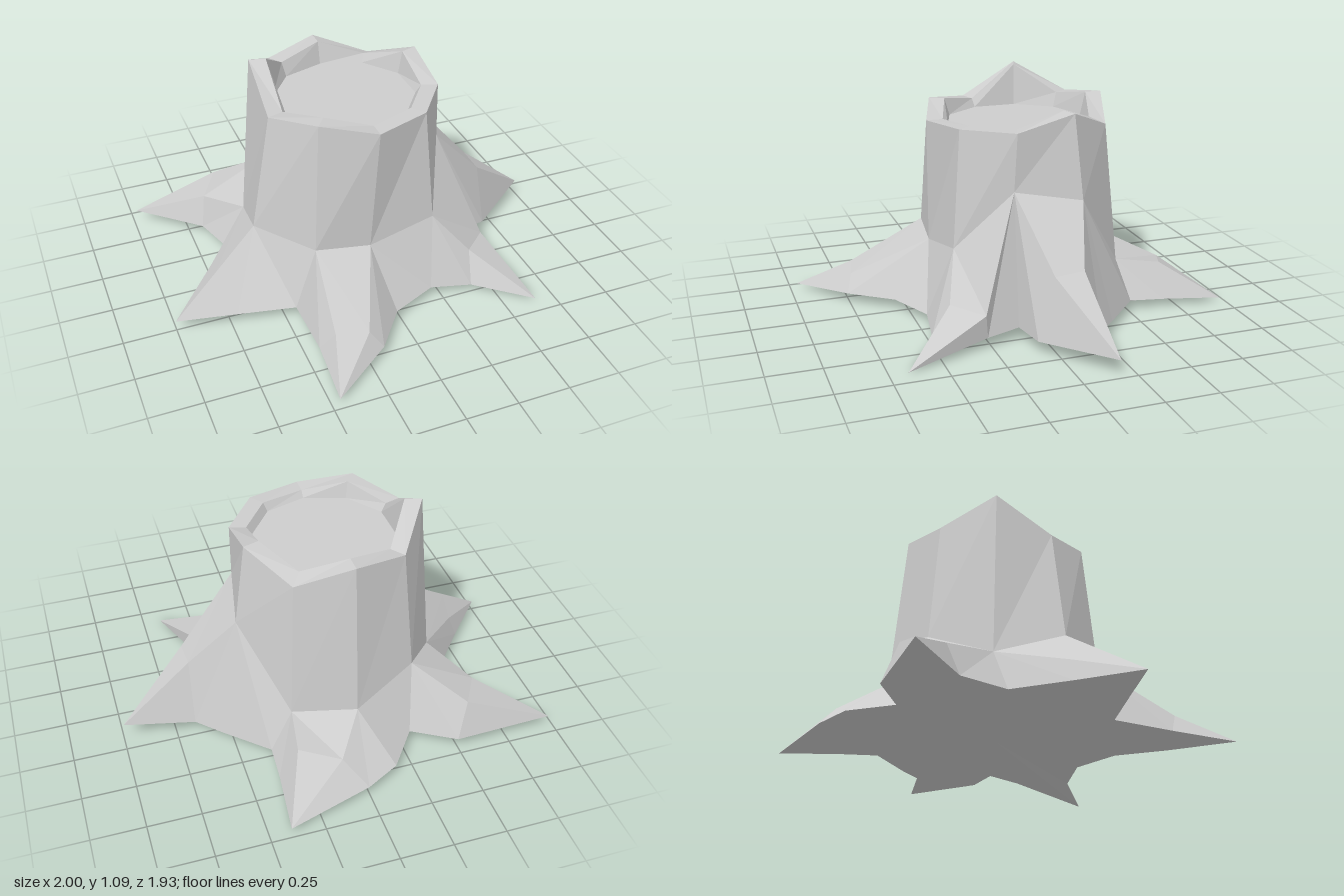
import * as THREE from 'three';

const CX = -0.04, CZ = -0.06, N = 10;

// Builds a faceted mesh from polygons (corner lists, counter-clockwise from outside)
function facets(name, polys, material) {
  const pos = [];
  for (const p of polys) {
    for (let i = 1; i < p.length - 1; i++) {
      if (p[i] === p[i + 1]) continue;
      pos.push(...p[0], ...p[i], ...p[i + 1]);
    }
  }
  const g = new THREE.BufferGeometry();
  g.setAttribute('position', new THREE.Float32BufferAttribute(pos, 3));
  g.computeVertexNormals();
  const mesh = new THREE.Mesh(g, material);
  mesh.name = name;
  return mesh;
}

// Ten-sided ring around the trunk axis
const ring = (r, height) => Array.from({ length: N }, (_, k) => {
  const a = (k * Math.PI * 2) / N;
  return [CX + r * Math.sin(a), height(k), CZ + r * Math.cos(a)];
});

// Quads joining a lower ring to an upper ring
const band = (lo, up) => lo.map((p, k) => {
  const n = (k + 1) % N;
  return [p, lo[n], up[n], up[k]];
});

export function createModel() {
  const model = new THREE.Group();
  const wood = new THREE.MeshStandardMaterial({ color: 0xcccccc });
  wood.name = 'pale grey wood';

  // Jagged rim heights, and where the trunk meets the roots
  const jag = [0.92, 0.93, 0.93, 1.0, 0.9, 1.0, 0.96, 1.09, 0.93, 0.97];
  const foot = [
    [-0.08, 0.32, 0.37], [0.25, 0.38, 0.34], [0.375, 0.66, 0.09], [0.435, 0.61, -0.22],
    [0.25, 0.23, -0.475], [-0.04, 0.25, -0.57], [-0.34, 0.37, -0.47], [-0.52, 0.26, -0.23],
    [-0.56, 0.37, 0.09], [-0.34, 0.34, 0.34],
  ];
  const outer = ring(0.44, k => jag[k]);
  const inner = ring(0.36, k => (k === 4 ? 0.93 : jag[k]));
  const floor = ring(0.335, () => 0.89);

  model.add(facets('trunk', band(foot, outer), wood));
  model.add(facets('brokenRim', [...band(outer, inner), ...band(inner, floor)], wood));
  model.add(facets('cutFace', [floor], wood));

  // Ground points in the hollows between roots
  const h = {
    front: [-0.02, 0.05, 0.56], frontB: [0.2, 0.05, 0.46], right: [0.5, 0.06, 0.11],
    backR: [0.55, 0.05, -0.33], backR2: [0.36, 0.05, -0.51], back: [-0.16, 0.05, -0.78],
    backL: [-0.3, 0.05, -0.59], left: [-0.62, 0.05, -0.2], frontL: [-0.45, 0.05, 0.36],
  };

  // Each root: start side k, hollows v, ridge points m, ground points g, tip
  const roots = [
    { k: 9, v: [h.frontL, h.front], m: [[-0.38, 0.14, 0.7], [-0.23, 0.13, 0.73]],
      g: [[-0.44, 0.04, 0.65], [-0.17, 0.05, 0.76]], tip: [-0.46, 0.02, 0.965] },
    { k: 1, v: [h.frontB, h.right], m: [[0.42, 0.18, 0.41], [0.55, 0.16, 0.28]],
      g: [[0.4, 0.03, 0.49], [0.54, 0.05, 0.27]], tip: [0.66, 0, 0.665] },
    { k: 2, v: [h.right, h.backR], m: [[0.66, 0.35, 0.0], [0.655, 0.36, -0.14]],
      g: [[0.67, 0.06, 0.08], [0.66, 0.06, -0.23]], tip: [0.995, 0.08, -0.17] },
    { k: 4, v: [h.backR2, h.back], m: [[0.285, 0.2, -0.69], [0.1, 0.16, -0.77]],
      g: [[0.37, 0.04, -0.68], [0, 0.04, -0.86]], tip: [0.4, 0.02, -0.97] },
    { k: 6, v: [h.backL, h.left], m: [[-0.56, 0.22, -0.65], [-0.66, 0.2, -0.48]],
      g: [[-0.5, 0.05, -0.71], [-0.69, 0.05, -0.43]], tip: [-0.98, 0.05, -0.695] },
    { k: 7, v: [h.left, h.frontL], m: [[-0.76, 0.16, 0.03], [-0.78, 0.21, 0.17]],
      g: [[-0.8, 0.05, 0.02], [-0.72, 0.05, 0.305]], tip: [-1, 0.05, 0.25] },
  ];
  const outline = [];
  for (const { k, v, m, g, tip } of roots) {
    const a = foot[k], b = foot[(k + 1) % N];
    model.add(facets('root', [
      [a, m[0], m[1], b], [m[0], tip, m[1]],
      [a, v[0], g[0], m[0]], [m[0], g[0], tip],
      [b, m[1], g[1], v[1]], [m[1], tip, g[1]],
    ], wood));
    for (const p of [v[0], g[0], tip, g[1], v[1]]) if (!outline.includes(p)) outline.push(p);
  }

  // Bark between the roots
  model.add(facets('hollows', [
    [foot[0], h.front, h.frontB, foot[1]],
    [foot[3], h.backR, h.backR2, foot[4]],
    [foot[5], h.back, h.backL, foot[6]],
    [foot[8], h.frontL, foot[9]],
  ], wood));

  // Underside
  const hub = [-0.02, 0.05, -0.05];
  model.add(facets('underside', outline.map((p, i) => [hub, outline[(i + 1) % outline.length], p]), wood));
  return model;
}
